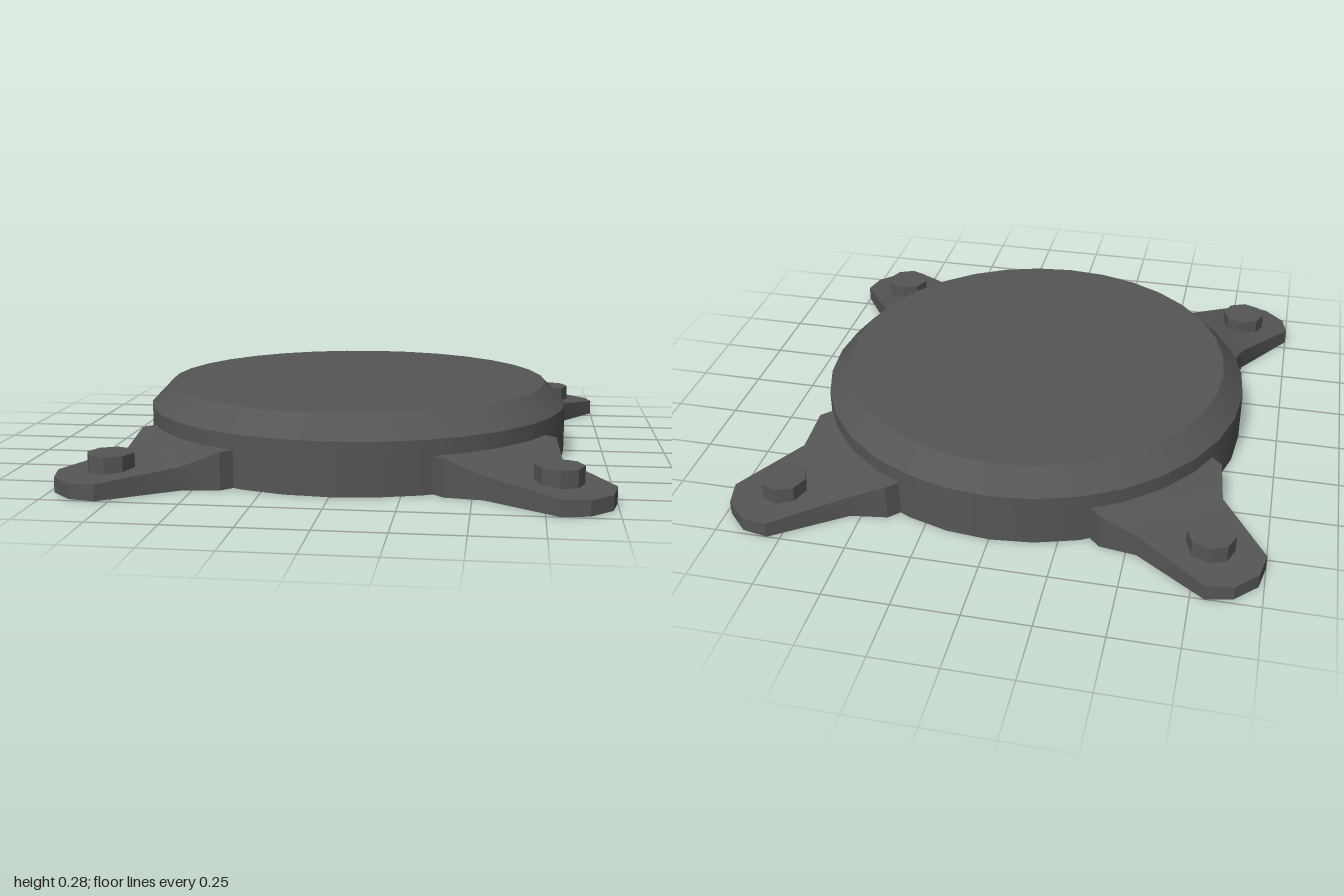
import * as THREE from 'three';
import { toCreasedNormals } from 'three/addons/utils/BufferGeometryUtils.js';

// Mounting foot lofted outward along +z: [distance, half width, height]
const FOOT_SECTIONS = [
  [0.6, 0.283, 0.14],
  [0.849, 0.283, 0.14],
  [0.962, 0.198, 0.087],
  [1.273, 0.141, 0.06],
  [1.329, 0.057, 0.055],
];

function footGeometry() {
  const pos = [];
  const quad = (a, b, c, d) => pos.push(...a, ...b, ...c, ...a, ...c, ...d);
  for (let i = 0; i < FOOT_SECTIONS.length - 1; i++) {
    const [d0, w0, h0] = FOOT_SECTIONS[i];
    const [d1, w1, h1] = FOOT_SECTIONS[i + 1];
    quad([-w0, h0, d0], [-w1, h1, d1], [w1, h1, d1], [w0, h0, d0]); // top
    quad([w0, 0, d0], [w1, 0, d1], [-w1, 0, d1], [-w0, 0, d0]); // underside
    quad([w0, 0, d0], [w0, h0, d0], [w1, h1, d1], [w1, 0, d1]); // +x side
    quad([-w1, 0, d1], [-w1, h1, d1], [-w0, h0, d0], [-w0, 0, d0]); // -x side
  }
  const [d, w, h] = FOOT_SECTIONS[FOOT_SECTIONS.length - 1];
  quad([-w, 0, d], [w, 0, d], [w, h, d], [-w, h, d]); // tip
  const geo = new THREE.BufferGeometry();
  geo.setAttribute('position', new THREE.Float32BufferAttribute(pos, 3));
  return toCreasedNormals(geo, THREE.MathUtils.degToRad(32));
}

export function createModel() {
  const model = new THREE.Group();
  model.name = 'roundMountingBase';
  const darkGrey = new THREE.MeshStandardMaterial({ color: 0x555555 });
  darkGrey.name = 'darkGrey';

  const add = (parent, name, geometry, y = 0, z = 0) => {
    const mesh = new THREE.Mesh(geometry, darkGrey);
    mesh.name = name;
    mesh.position.set(0, y, z);
    parent.add(mesh);
  };

  // Round housing with a chamfered rim
  add(model, 'housing', new THREE.CylinderGeometry(0.845, 0.845, 0.2, 32), 0.1);
  add(model, 'chamferedLid', new THREE.CylinderGeometry(0.762, 0.845, 0.085, 32), 0.2425);

  // Four bolted feet on the diagonals
  const foot = footGeometry();
  const bolt = toCreasedNormals(new THREE.CylinderGeometry(0.088, 0.088, 0.09, 8), 0.5);
  ['frontLeft', 'backLeft', 'backRight', 'frontRight'].forEach((corner, i) => {
    const group = new THREE.Group();
    group.name = corner + 'Foot';
    group.rotation.y = Math.PI / 4 + (i * Math.PI) / 2;
    add(group, 'footPlate', foot);
    add(group, 'boltHead', bolt, 0.085, 0.8 * Math.SQRT2);
    model.add(group);
  });

  return model;
}
